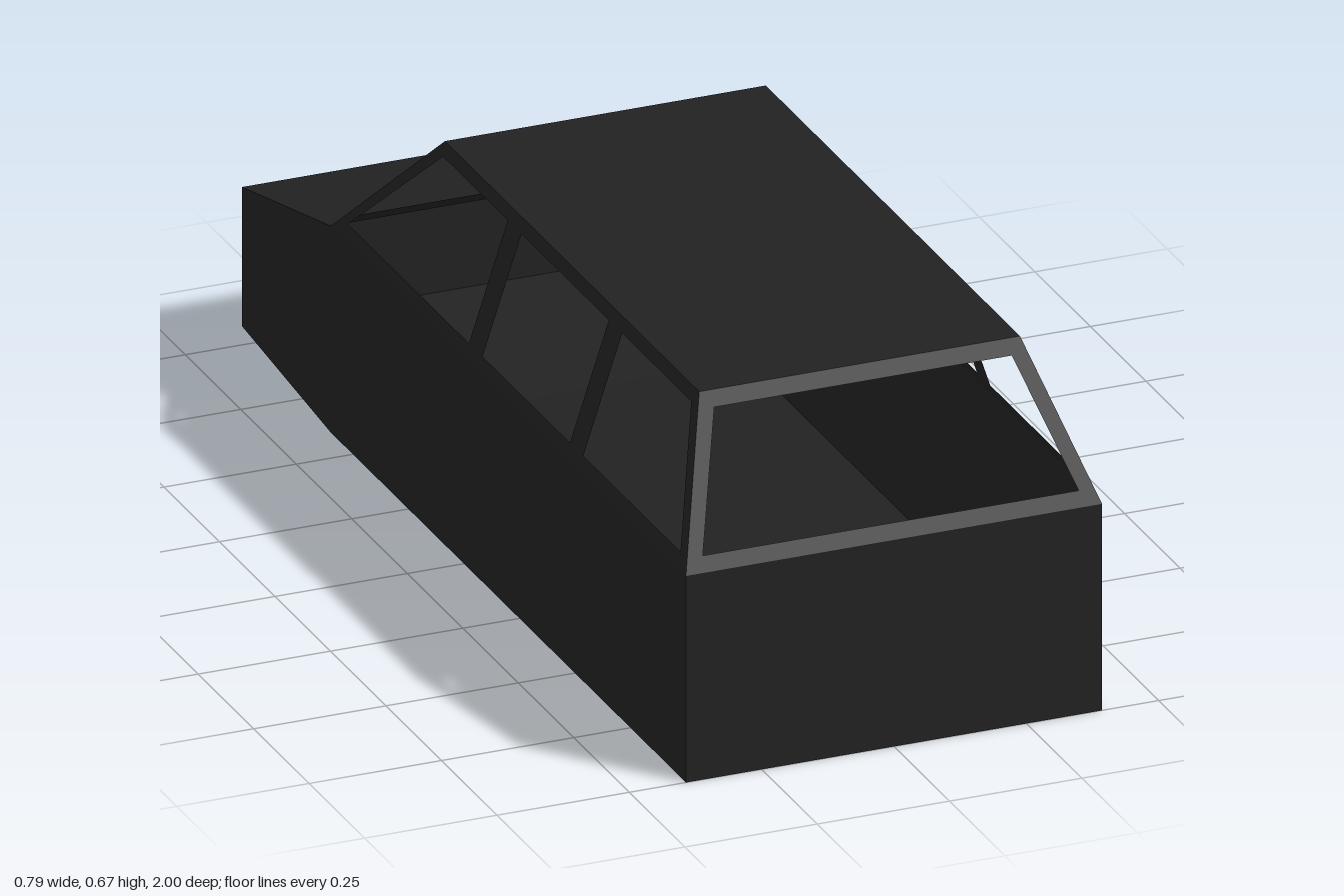
import * as THREE from 'three';

const HALF = 0.393, ROOF_HALF = 0.303, BELT = 0.395, ROOF = 0.667;

const bodyBlack = new THREE.MeshStandardMaterial({ color: 0x222222, side: THREE.DoubleSide });
bodyBlack.name = 'bodyBlack';

const toPath = (pts, Type) => new Type(pts.map(([a, b]) => new THREE.Vector2(a, b)));

// Flat sheet with openings, placed in space by a mapping rule (u, v) -> [x, y, z]
function panel(name, outline, holes, map, flip = false) {
  const shape = toPath(outline, THREE.Shape);
  shape.holes = holes.map((h) => toPath(h, THREE.Path));
  let geo = new THREE.ShapeGeometry(shape);
  const pos = geo.attributes.position;
  for (let i = 0; i < pos.count; i++) pos.setXYZ(i, ...map(pos.getX(i), pos.getY(i)));
  if (flip) {
    const idx = geo.index.array;
    for (let i = 0; i < idx.length; i += 3) [idx[i], idx[i + 1]] = [idx[i + 1], idx[i]];
  }
  geo = geo.toNonIndexed();
  geo.computeVertexNormals();
  const mesh = new THREE.Mesh(geo, bodyBlack);
  mesh.name = name;
  return mesh;
}

export function createModel() {
  const car = new THREE.Group();
  car.name = 'carBodyShell';

  // Opening shared by the rear window and windshield: [half width, y]
  const sill = [0.355, 0.421], head = [0.281, 0.64];
  const vOf = (y) => (y - BELT) / (ROOF - BELT);
  const rearHole = [[-sill[0], vOf(sill[1])], [sill[0], vOf(sill[1])], [head[0], vOf(head[1])], [-head[0], vOf(head[1])]];
  const windshieldHole = rearHole.map(([x, v]) => [x, 1 - v]);

  // Closed centre profile: z, y, half width, and the panel that starts there
  const profile = [
    [-0.6, 0, HALF, 'floor', []],
    [1, 0, HALF, 'endPanel', []],
    [1, BELT, HALF, 'endWindowFrame', [rearHole]],
    [0.845, ROOF, ROOF_HALF, 'roof', []],
    [-0.3, ROOF, ROOF_HALF, 'windshieldFrame', [windshieldHole]],
    [-0.6, BELT, HALF, 'hood', []],
    [-1, 0.302, HALF, 'nosePanel', []],
    [-1, 0.036, HALF, 'noseUnderside', []],
  ];
  profile.forEach(([z0, y0, w0, name, holes], i) => {
    const [z1, y1, w1] = profile[(i + 1) % profile.length];
    const outline = [[-w0, 0], [w0, 0], [w1, 1], [-w1, 1]];
    car.add(panel(name, outline, holes, (x, v) => [x, y0 + (y1 - y0) * v, z0 + (z1 - z0) * v]));
  });

  // Lower side outline and the window band above it, as [z, y]
  const lower = [[1, 0], [1, BELT], [-0.6, BELT], [-1, 0.302], [-1, 0.036], [-0.6, 0]];
  const upper = [[1, BELT], [0.845, ROOF], [-0.3, ROOF], [-0.6, BELT]];
  const lo = 0.421, hi = 0.643;
  const sideWindows = [
    [[0.955, lo], [0.828, hi], [0.517, hi], [0.517, lo]],
    [[0.457, lo], [0.457, hi], [0.063, hi], [0.063, lo]],
    [[0.002, lo], [0.002, hi], [-0.29, hi], [-0.543, lo]],
  ];
  for (const [side, label] of [[1, 'left'], [-1, 'right']]) {
    car.add(panel(label + 'BodySide', lower, [], (z, y) => [side * HALF, y, z], side > 0));
    car.add(panel(label + 'WindowFrame', upper, sideWindows,
      (z, y) => [side * (HALF + (ROOF_HALF - HALF) * vOf(y)), y, z], side > 0));
  }
  return car;
}
